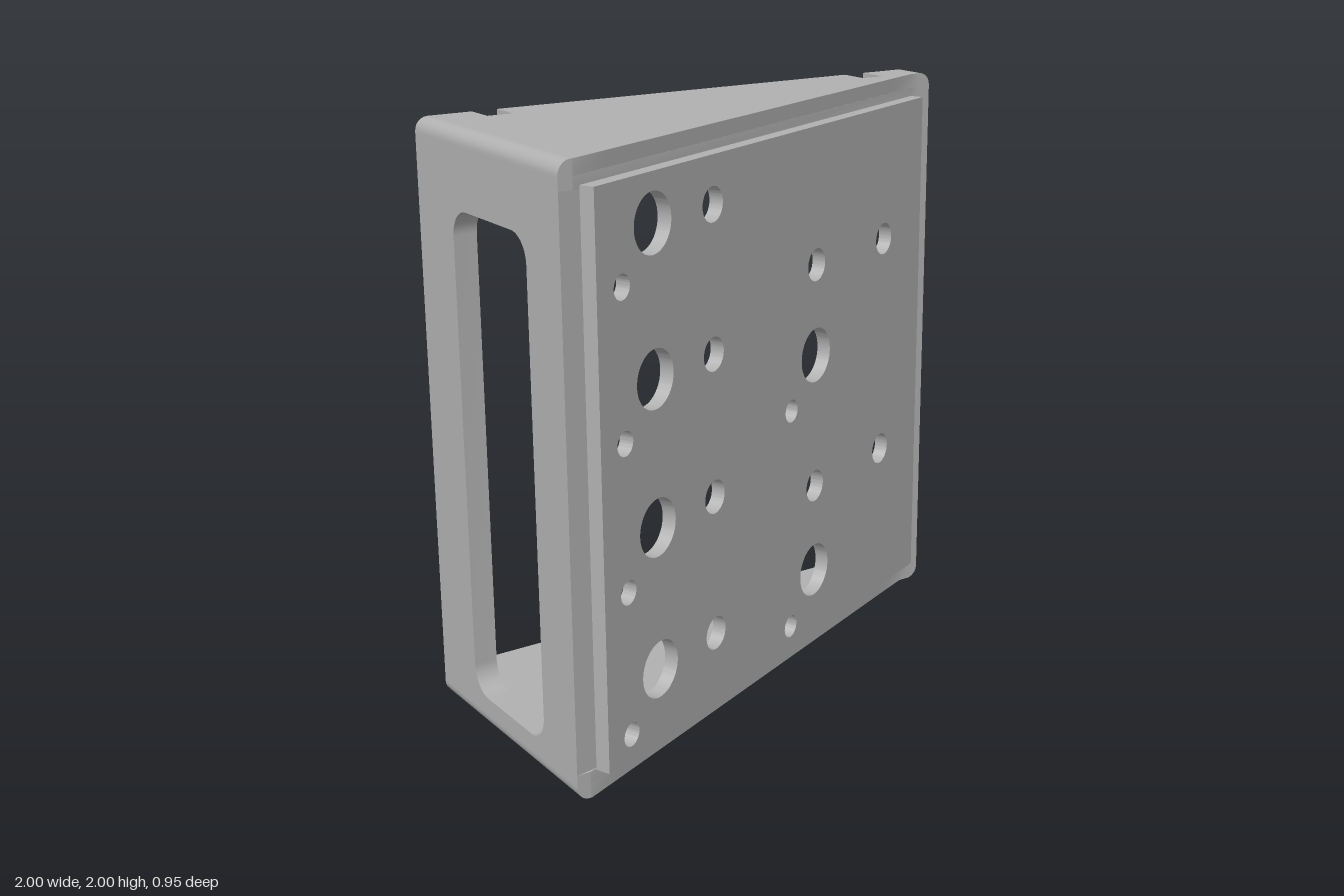
import * as THREE from 'three';
import { toCreasedNormals } from 'three/addons/utils/BufferGeometryUtils.js';

const BACK = -0.48, H = 1, R = 0.045, WALL = 0.09;
const SLOPE = 0.785 / 1.84;

// front edge of the wedge body at a given x
const frontZ = (x) => Math.min(0.44, Math.max(-0.355, 0.44 - (x + 0.95) * SLOPE));
// half height of the body, rounded off at both ends
const halfHeight = (x) => {
  const d = Math.max(0, Math.abs(x) - (1 - R));
  return H - R + Math.sqrt(Math.max(0, R * R - d * d));
};

// all x stations where the body outline bends
const arc = [0, 15, 30, 45, 60, 75, 90].map((a) => 1 - R + R * Math.sin((a * Math.PI) / 180));
const stations = [...arc.map((x) => -x).reverse(), -0.95, 0.915, ...arc];

// a bar running along x whose faces follow the body outline; yLow/yHigh are functions of x
function bar(x0, x1, yLow, yHigh, back) {
  const xs = [x0, ...stations.filter((x) => x > x0 + 1e-4 && x < x1 - 1e-4), x1];
  const n = xs.length - 1;
  const geo = new THREE.BoxGeometry(2, 2, 2, n, 1, 1);
  const p = geo.attributes.position;
  for (let i = 0; i < p.count; i++) {
    const x = xs[Math.round(((p.getX(i) + 1) / 2) * n)];
    const y = p.getY(i) > 0 ? yHigh(x) : yLow(x);
    p.setXYZ(i, x, H + y, p.getZ(i) > 0 ? frontZ(x) : back);
  }
  return toCreasedNormals(geo, 0.5);
}

function roundedRect(x0, y0, x1, y1, r) {
  const s = new THREE.Path();
  s.absarc(x1 - r, y1 - r, r, 0, Math.PI / 2);
  s.absarc(x0 + r, y1 - r, r, Math.PI / 2, Math.PI);
  s.absarc(x0 + r, y0 + r, r, Math.PI, Math.PI * 1.5);
  s.absarc(x1 - r, y0 + r, r, Math.PI * 1.5, Math.PI * 2);
  s.closePath();
  return s;
}

function rectShape(x0, y0, x1, y1) {
  return new THREE.Shape([[x0, y0], [x1, y0], [x1, y1], [x0, y1]].map(([x, y]) => new THREE.Vector2(x, y)));
}

export function createModel() {
  const model = new THREE.Group();
  model.name = 'wedgeBox';
  const grey = new THREE.MeshStandardMaterial({ color: 0xb0b0b0 });
  grey.name = 'grey';
  const add = (geo, name, parent = model) => {
    const mesh = new THREE.Mesh(geo, grey);
    mesh.name = name;
    parent.add(mesh);
    return mesh;
  };

  // top and bottom walls: a plain inner layer and an outer layer with two notches at the back
  const inner = H - WALL, floor = H - 0.05, notchBack = -0.37;
  const layer = [
    [-1, -0.8, BACK], [-0.8, -0.71, notchBack], [-0.71, 0.705, BACK],
    [0.705, 0.79, notchBack], [0.79, 1, BACK],
  ];
  for (const s of [1, -1]) {
    const wall = new THREE.Group();
    wall.name = s > 0 ? 'topWall' : 'bottomWall';
    model.add(wall);
    const between = (x0, x1, a, b, back) =>
      s > 0 ? bar(x0, x1, a, b, back) : bar(x0, x1, (x) => -b(x), (x) => -a(x), back);
    add(between(-1, 1, () => inner, () => floor, BACK), 'innerLayer', wall);
    for (const [x0, x1, back] of layer) {
      add(between(x0, x1, () => floor, halfHeight, back), back === BACK ? 'outerLayer' : 'notchedLayer', wall);
    }
  }

  // shallow side wall
  add(bar(0.89, 1, () => -inner, () => inner, BACK), 'shallowSideWall');

  // deep side wall with its rounded window
  const side = rectShape(-0.44, WALL, -BACK, 2 - WALL);
  side.holes.push(roundedRect(-0.235, 0.11, 0.24, 1.75, 0.09));
  let sideGeo = new THREE.ExtrudeGeometry(side, { depth: 0.08, bevelEnabled: false, curveSegments: 8 });
  const sp = sideGeo.attributes.position;
  for (let i = 0; i < sp.count; i++) {
    if (sp.getX(i) < -0.43 && sp.getZ(i) > 0.04) sp.setX(i, -frontZ(-0.92));
  }
  sideGeo = toCreasedNormals(sideGeo, 0.5);
  sideGeo.rotateY(Math.PI / 2);
  sideGeo.translate(-1, 0, 0);
  add(sideGeo, 'deepSideWall');

  // slanted front panel with round holes
  const angle = Math.atan(SLOPE), cos = Math.cos(angle);
  const panel = rectShape(0, 0.083, 1.84 / cos, 1.92);
  const hole = (x, y, r) => {
    const path = new THREE.Path();
    path.absarc((x + 0.905) / cos, y, r, 0, Math.PI * 2);
    panel.holes.push(path);
  };
  for (let i = 0; i < 4; i++) {
    const y = 0.325 + i * 0.48;
    hole(-0.645, y, 0.096);
    hole(-0.35, y, 0.057);
    hole(-0.793, y - 0.16, 0.04);
  }
  for (const y of [0.325, 1.125]) {
    hole(0.238, y, 0.096);
    hole(0.09, y - 0.16, 0.04);
    hole(0.238, y + 0.32, 0.057);
    hole(0.678, y + 0.32, 0.057);
  }
  const panelGeo = toCreasedNormals(
    new THREE.ExtrudeGeometry(panel, { depth: 0.05, bevelEnabled: false, curveSegments: 32 }), 0.5);
  const front = add(panelGeo, 'frontPanel');
  front.rotation.y = angle;
  front.position.set(-0.925, 0, 0.429);

  return model;
}
